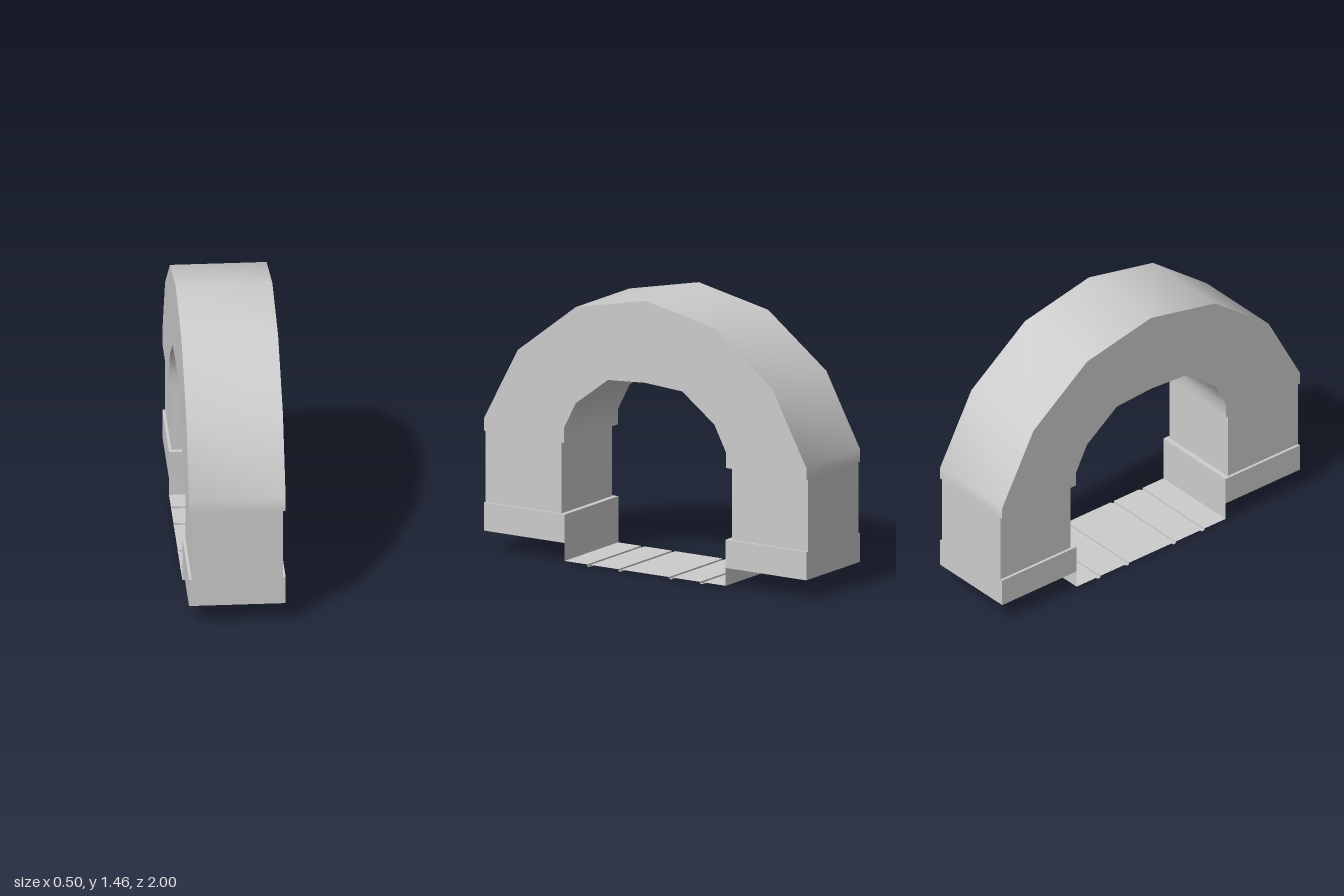
import * as THREE from 'three';
import { toCreasedNormals } from 'three/addons/utils/BufferGeometryUtils.js';

const HALF = 0.25; // half width of the arch

// Flat-shaded geometry from quads of corner points
function quads(list) {
  const pos = [];
  for (const [a, b, c, d] of list) pos.push(...a, ...b, ...c, ...a, ...c, ...d);
  const g = new THREE.BufferGeometry();
  g.setAttribute('position', new THREE.Float32BufferAttribute(pos, 3));
  g.computeVertexNormals();
  return g;
}

// Sheet following a [z, y] path, spanning the full width
function ribbon(path) {
  const list = [];
  for (let i = 0; i < path.length - 1; i++) {
    const [z0, y0] = path[i], [z1, y1] = path[i + 1];
    list.push([[HALF, y0, z0], [HALF, y1, z1], [-HALF, y1, z1], [-HALF, y0, z0]]);
  }
  return toCreasedNormals(quads(list), THREE.MathUtils.degToRad(30));
}

// Open-ended shell through rectangular rings [y, halfWidth, innerZ]
function shell(rings) {
  const corners = ([y, h, z]) => [[h, y, 1], [h, y, z], [-h, y, z], [-h, y, 1]];
  const list = [];
  for (let r = 0; r < rings.length - 1; r++) {
    const lo = corners(rings[r]), hi = corners(rings[r + 1]);
    for (let i = 0; i < 4; i++) {
      const j = (i + 1) % 4;
      list.push([lo[i], lo[j], hi[j], hi[i]]);
    }
  }
  return quads(list);
}

// Mirror a half path (ending on z = 0) to the other end
const mirror = (half) => [...half, ...half.slice(0, -1).reverse().map(([z, y]) => [-z, y])];

export function createModel() {
  const model = new THREE.Group();
  const stone = new THREE.MeshStandardMaterial({ color: 0xcccccc, side: THREE.DoubleSide });
  stone.name = 'paleStone';
  const add = (name, geometry, parent = model) => {
    const mesh = new THREE.Mesh(geometry, stone);
    mesh.name = name;
    parent.add(mesh);
    return mesh;
  };

  // Arch: outer and inner curved surfaces with flat sides
  const outer = mirror([[1, 0.635], [1, 0.7], [0.79, 1.09], [0.43, 1.365], [0, 1.455]]);
  const inner = mirror([[0.503, 0.635], [0.503, 0.715], [0.43, 0.855], [0.23, 1.005], [0, 1.02]]).reverse();
  add('archOuter', ribbon(outer));
  add('archInner', ribbon(inner));
  const face = new THREE.Shape([...outer, ...inner].map(([z, y]) => new THREE.Vector2(z, y)));
  for (const s of [1, -1]) {
    const side = add(s > 0 ? 'archLeftSide' : 'archRightSide', new THREE.ShapeGeometry(face));
    side.rotation.y = s * Math.PI / 2;
    side.position.x = s * HALF;
  }

  // Legs: hollow pillar on a slightly wider plinth, with narrow ledges
  for (const s of [1, -1]) {
    const leg = new THREE.Group();
    leg.name = s > 0 ? 'frontLeg' : 'backLeg';
    leg.rotation.y = s > 0 ? 0 : Math.PI;
    add('plinth', shell([[0.105, HALF, 0.5], [0.255, HALF, 0.5], [0.255, 0.235, 0.528]]), leg);
    add('pillar', shell([[0.255, 0.235, 0.528], [0.635, 0.235, 0.528], [0.635, HALF, 0.503]]), leg);
    model.add(leg);
  }

  // Sunken floor sheet between the legs, with four narrow grooves
  const path = [[0.5, 0.105], [0.5, 0.01]];
  for (const z of [0.35, 0.157, -0.157, -0.35]) {
    path.push([z + 0.01, 0.01], [z + 0.01, 0], [z - 0.01, 0], [z - 0.01, 0.01]);
  }
  path.push([-0.5, 0.01], [-0.5, 0.105]);
  add('floor', ribbon(path));

  return model;
}
